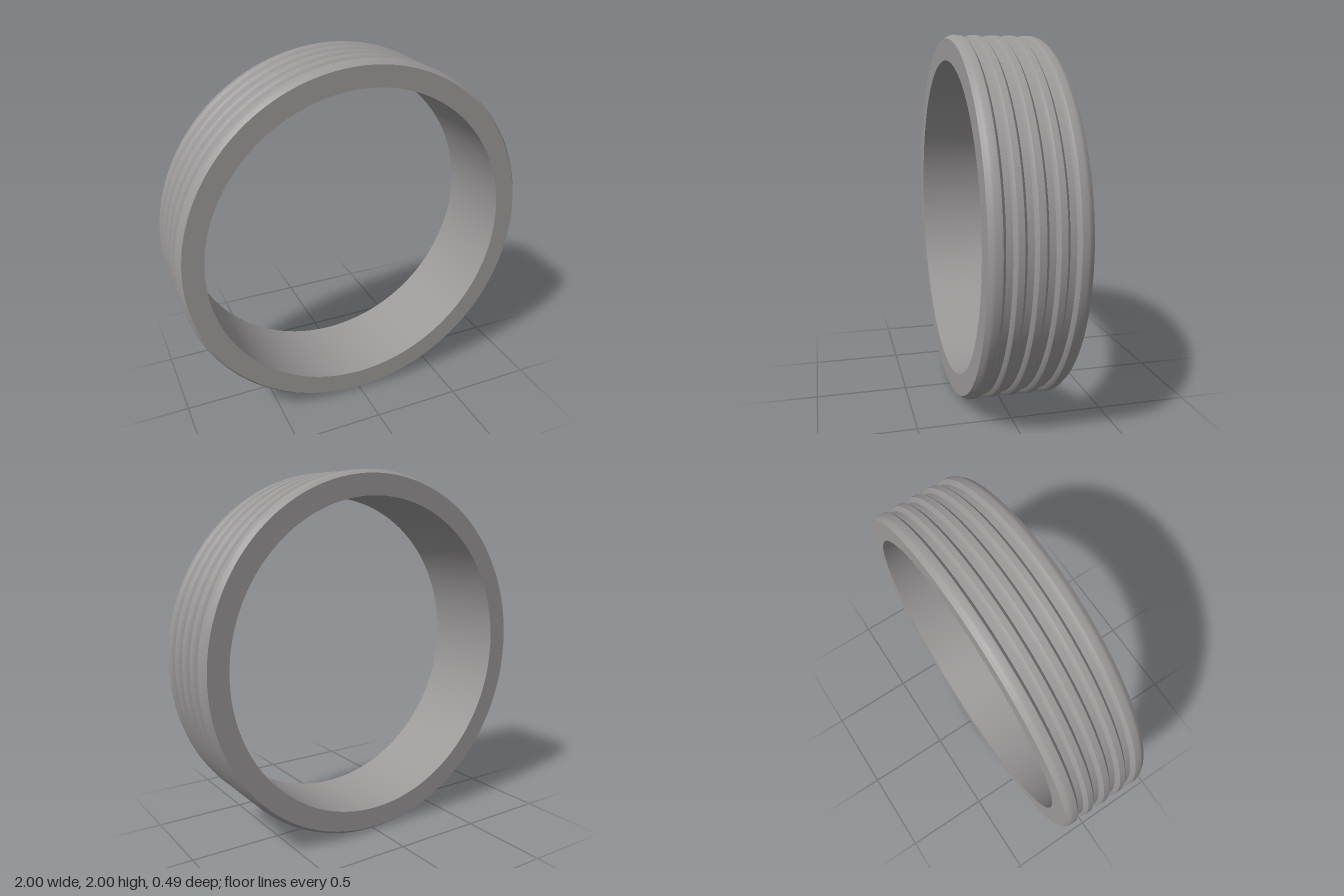
import * as THREE from 'three';
import { toCreasedNormals } from 'three/addons/utils/BufferGeometryUtils.js';

export function createModel() {
  const group = new THREE.Group();
  group.name = 'groovedRing';
  const metal = new THREE.MeshStandardMaterial({ color: 0x9c9999 });
  metal.name = 'grey metal';

  const inner = 0.866, half = 0.245;
  const grooves = [-0.147, -0.05, 0.05, 0.147];
  // Half of a groove: distance from its centre, and radius
  const shoulder = [[0.033, 1], [0.026, 0.994], [0.02, 0.984], [0.016, 0.978]];

  // Cross-section (radius, width): rounded rim, grooves, rounded rim, bore
  const rim = [[half, 0.98], [0.236, 0.986], [0.224, 0.996], [0.212, 1]];
  const profile = [[inner, -half]];
  rim.forEach(([w, r]) => profile.push([r, -w]));
  for (const c of grooves) {
    shoulder.forEach(([d, r]) => profile.push([r, c - d]));
    [...shoulder].reverse().forEach(([d, r]) => profile.push([r, c + d]));
  }
  [...rim].reverse().forEach(([w, r]) => profile.push([r, w]));
  profile.push([inner, half], [inner, -half]);

  const lathe = new THREE.LatheGeometry(profile.map(([r, w]) => new THREE.Vector2(r, w)), 160);
  lathe.rotateX(Math.PI / 2);
  const band = new THREE.Mesh(toCreasedNormals(lathe, 0.5), metal);
  band.name = 'band';
  band.position.y = 1;
  group.add(band);
  return group;
}
